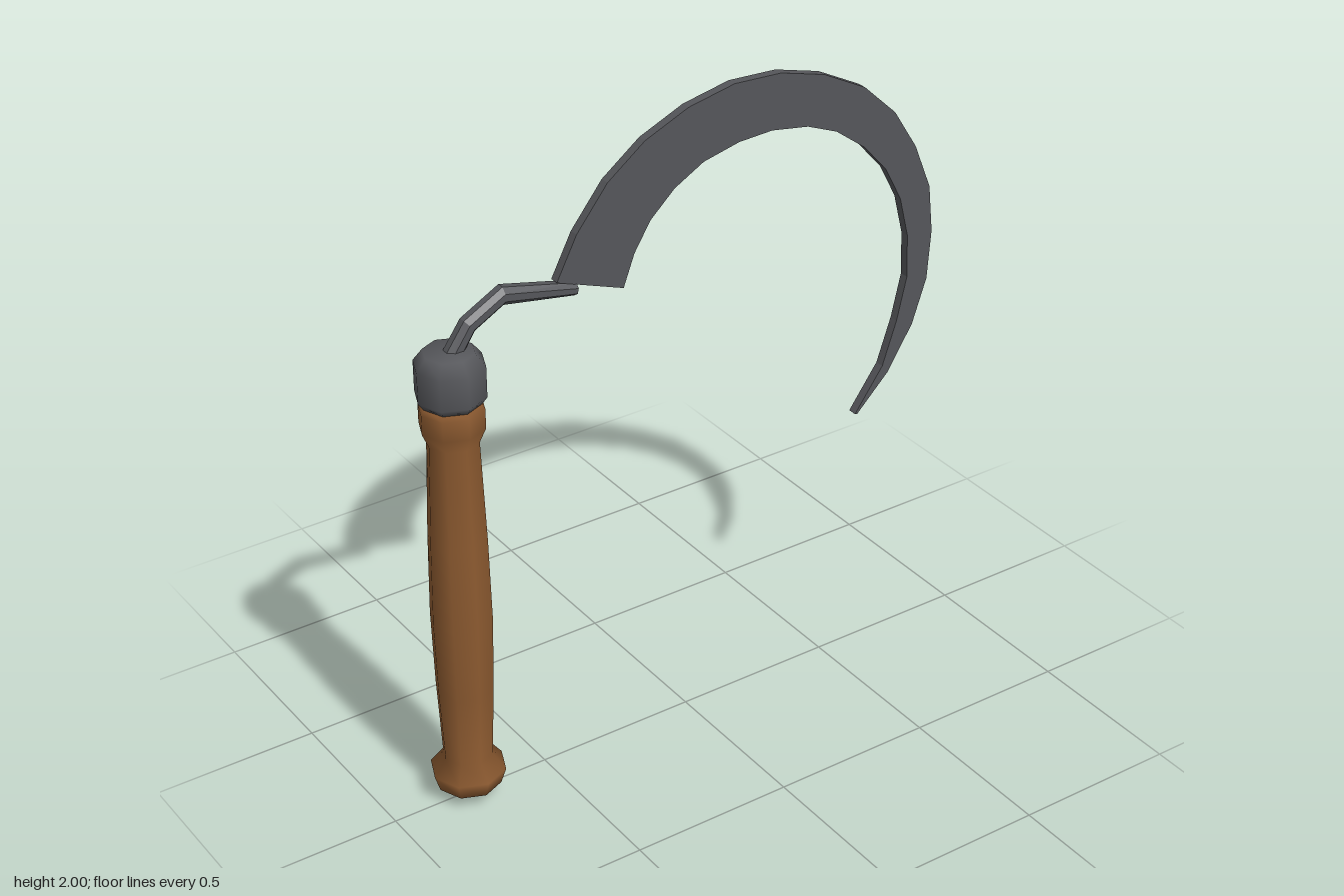
import * as THREE from 'three';

const metal = new THREE.MeshStandardMaterial({ color: 0x55565a });
const wood = new THREE.MeshStandardMaterial({ color: 0x8c5a30 });
const HANDLE_X = -0.755;

function addMesh(parent, name, geometry, material) {
  const mesh = new THREE.Mesh(geometry, material);
  mesh.name = name;
  parent.add(mesh);
  return mesh;
}

// Eight-sided turned part from [radius, height] pairs, listed bottom to top
function turned(profile) {
  return new THREE.LatheGeometry(profile.map(([r, y]) => new THREE.Vector2(r, y)), 8);
}

// Mitred rod along a bent path in the xy plane; each point is [x, y, in-plane radius]
function bentRod(path, depthRadius, sides) {
  const pts = path.map(([x, y]) => new THREE.Vector2(x, y));
  const positions = [];
  const index = [];
  path.forEach(([x, y, r], i) => {
    const before = pts[Math.max(i - 1, 0)];
    const after = pts[Math.min(i + 1, pts.length - 1)];
    const t = after.clone().sub(before).normalize();
    for (let k = 0; k < sides; k++) {
      const a = ((k + 0.5) / sides) * Math.PI * 2;
      const c = Math.cos(a) * r;
      positions.push(x - t.y * c, y + t.x * c, Math.sin(a) * depthRadius);
    }
  });
  for (let i = 0; i < path.length - 1; i++) {
    for (let k = 0; k < sides; k++) {
      const a = i * sides + k;
      const b = i * sides + ((k + 1) % sides);
      index.push(a, b, a + sides, b, b + sides, a + sides);
    }
  }
  // End caps
  const last = (path.length - 1) * sides;
  for (let k = 1; k < sides - 1; k++) {
    index.push(0, k + 1, k, last, last + k, last + k + 1);
  }
  const geometry = new THREE.BufferGeometry();
  geometry.setAttribute('position', new THREE.Float32BufferAttribute(positions, 3));
  geometry.setIndex(index);
  const faceted = geometry.toNonIndexed();
  faceted.computeVertexNormals();
  return faceted;
}

export function createModel() {
  const sickle = new THREE.Group();
  sickle.name = 'sickle';

  // Wooden grip with a rounded pommel and a flared top
  const handle = addMesh(sickle, 'handle', turned([
    [0, 0.005], [0.095, 0.05], [0.111, 0.1], [0.073, 0.15],
    [0.084, 0.38], [0.09, 0.62], [0.085, 0.88], [0.074, 1.19],
    [0.093, 1.235], [0.093, 1.295], [0.08, 1.315], [0, 1.315],
  ]), wood);
  handle.position.x = HANDLE_X;

  // Metal ferrule over the grip
  const collar = addMesh(sickle, 'collar', turned([
    [0, 1.31], [0.085, 1.31], [0.1, 1.332], [0.1, 1.425], [0.072, 1.462], [0, 1.464],
  ]), metal);
  collar.position.x = HANDLE_X;

  // Bent tang joining ferrule and blade
  addMesh(sickle, 'tang', bentRod([
    [-0.752, 1.44, 0.028], [-0.695, 1.523, 0.027],
    [-0.59, 1.58, 0.029], [-0.365, 1.532, 0.02],
  ], 0.027, 8), metal);

  // Crescent blade: outer back edge, then inner cutting edge, both heel to tip
  const outer = [
    [-0.425, 1.57], [-0.36, 1.695], [-0.26, 1.82], [-0.14, 1.91], [0, 1.97], [0.15, 2],
    [0.305, 1.992], [0.452, 1.95], [0.595, 1.875], [0.706, 1.77], [0.786, 1.643],
    [0.844, 1.5], [0.86, 1.352], [0.849, 1.198], [0.802, 1.06], [0.717, 0.923], [0.608, 0.815],
  ];
  const inner = [
    [-0.213, 1.49], [-0.177, 1.585], [-0.124, 1.67], [-0.045, 1.743], [0.05, 1.796],
    [0.167, 1.823], [0.278, 1.828], [0.4, 1.807], [0.5, 1.765], [0.6, 1.69], [0.68, 1.6],
    [0.738, 1.49], [0.77, 1.362], [0.775, 1.225], [0.743, 1.088], [0.696, 0.95], [0.6, 0.817],
  ];
  const outline = [...outer, ...inner.reverse()].map(([x, y]) => new THREE.Vector2(x, y));
  const thickness = 0.028;
  const bladeGeometry = new THREE.ExtrudeGeometry(new THREE.Shape(outline), {
    depth: thickness, bevelEnabled: false,
  });
  bladeGeometry.translate(0, 0, -thickness / 2);
  addMesh(sickle, 'blade', bladeGeometry, metal);

  return sickle;
}
